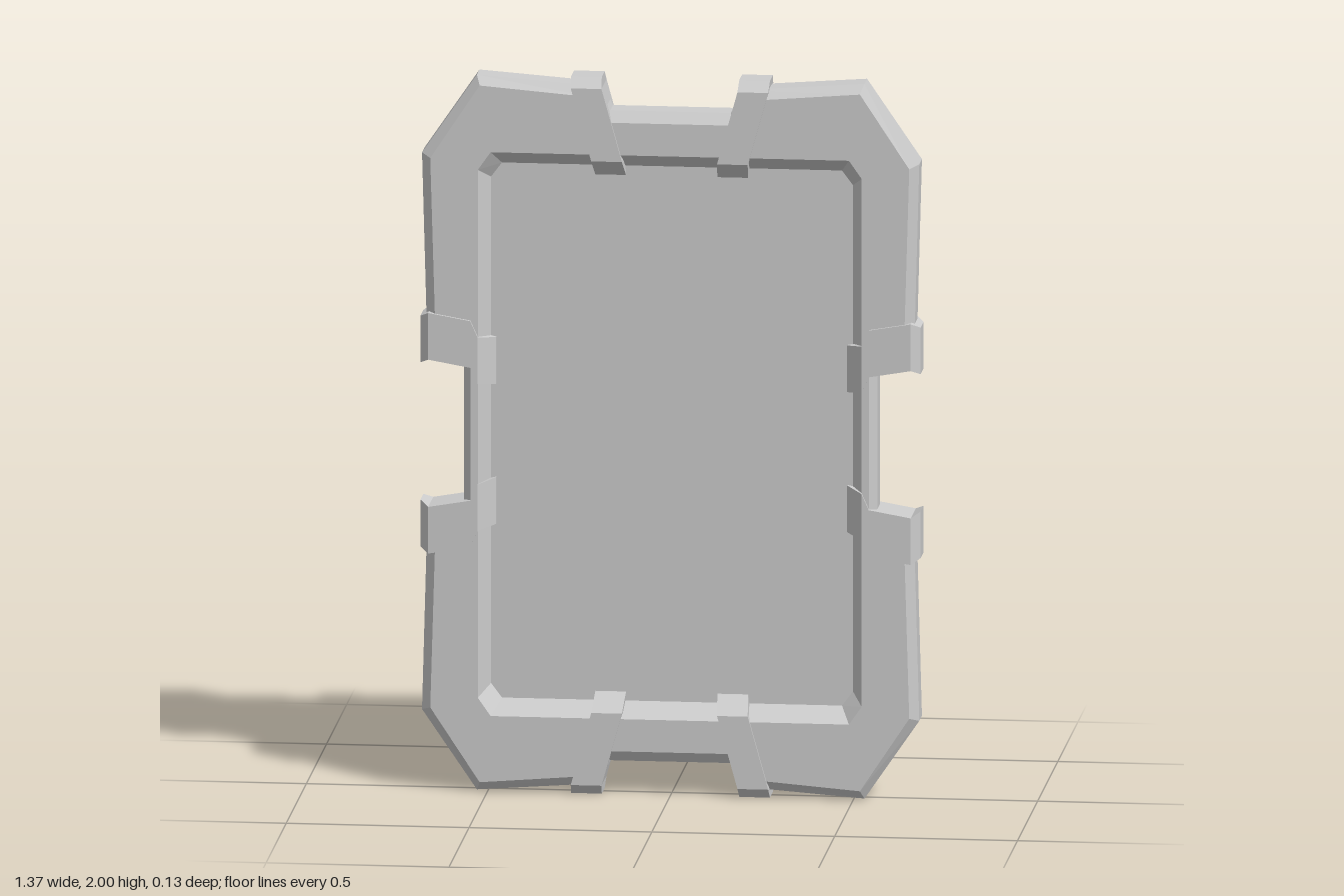
import * as THREE from 'three';

const material = new THREE.MeshStandardMaterial({ color: 0xcccccc, flatShading: true, side: THREE.DoubleSide });

// Joins equal-length loops of [x, y, z] points into a faceted skin.
function loft(loops, capped) {
  const pos = [];
  const tri = (a, b, c) => pos.push(...a, ...b, ...c);
  const n = loops[0].length;
  for (let i = 0; i < loops.length - 1; i++) {
    for (let j = 0; j < n; j++) {
      const k = (j + 1) % n;
      const [a, b, c, d] = [loops[i][j], loops[i + 1][j], loops[i + 1][k], loops[i][k]];
      tri(a, b, c);
      tri(a, c, d);
    }
  }
  if (capped) {
    const first = loops[0], last = loops[loops.length - 1];
    for (let j = 1; j < n - 1; j++) {
      tri(first[0], first[j], first[j + 1]);
      tri(last[0], last[j + 1], last[j]);
    }
  }
  const geometry = new THREE.BufferGeometry();
  geometry.setAttribute('position', new THREE.Float32BufferAttribute(pos, 3));
  geometry.computeVertexNormals();
  return geometry;
}

// Mirrors the upper right quarter of an outline into a full loop.
function fullLoop(quarter) {
  const back = [...quarter].reverse();
  return [
    ...quarter,
    ...back.map(([x, y]) => [x, -y]),
    ...quarter.map(([x, y]) => [-x, -y]),
    ...back.map(([x, y]) => [-x, y]),
  ];
}

// Strap sections: [distance from centre, sideways centre, half thickness].
function strapGeometry(sections, halfWidth) {
  return loft(sections.map(([d, c, z]) => [
    [d, c - halfWidth, z], [d, c + halfWidth, z],
    [d, c + halfWidth, -z], [d, c - halfWidth, -z],
  ]), true);
}

export function createModel() {
  const model = new THREE.Group();
  const body = new THREE.Group();
  body.name = 'framedPanel';
  body.position.y = 1.003;
  model.add(body);

  const add = (name, geometry) => {
    const mesh = new THREE.Mesh(geometry, material);
    mesh.name = name;
    body.add(mesh);
    return mesh;
  };

  // Quarter outlines of the notched rim, face and opening
  const rim = fullLoop([[0.165, 0.905], [0.195, 0.97], [0.53, 0.995], [0.68, 0.775], [0.665, 0.22], [0.565, 0.19]]);
  const face = fullLoop([[0.18, 0.875], [0.215, 0.945], [0.52, 0.97], [0.655, 0.765], [0.64, 0.245], [0.545, 0.215]]);
  const opening = fullLoop([[0.17, 0.785], [0.2, 0.785], [0.49, 0.785], [0.525, 0.735], [0.525, 0.235], [0.525, 0.205]]);
  const inset = fullLoop([[0.17, 0.745], [0.2, 0.745], [0.465, 0.745], [0.495, 0.705], [0.495, 0.235], [0.495, 0.205]]);

  // Bevelled frame, the same on front and back
  const atZ = (loop, z) => loop.map(([x, y]) => [x, y, z]);
  add('frame', loft([
    atZ(rim, -0.033), atZ(rim, 0.033), atZ(face, 0.056), atZ(opening, 0.056),
    atZ(inset, 0), atZ(opening, -0.056), atZ(face, -0.056), atZ(rim, -0.033),
  ]));

  // Thin panel inside the frame
  add('panel', new THREE.ShapeGeometry(new THREE.Shape(inset.map(([x, y]) => new THREE.Vector2(x, y)))));

  // Slanted straps at top and bottom, bent straps at the sides
  const endStrap = strapGeometry([
    [0.72, 0.167, 0.008], [0.768, 0.172, 0.064], [0.97, 0.228, 0.064], [0.998, 0.23, 0.036],
  ], 0.042);
  endStrap.rotateZ(Math.PI / 2);
  const sideStrap = strapGeometry([
    [0.48, 0.195, 0.008], [0.525, 0.205, 0.064], [0.545, 0.25, 0.064],
    [0.66, 0.27, 0.064], [0.684, 0.256, 0.036],
  ], 0.065);

  // Half turns place each strap in all four quarters
  for (const turnX of [0, Math.PI]) {
    for (const turnY of [0, Math.PI]) {
      const vertical = turnX ? 'lower' : 'upper';
      add(`${vertical}${turnY ? 'Left' : 'Right'}EndStrap`, endStrap).rotation.set(turnX, turnY, 0);
      add(`${vertical}${turnY ? 'Right' : 'Left'}SideStrap`, sideStrap).rotation.set(turnX, turnY, 0);
    }
  }
  return model;
}
